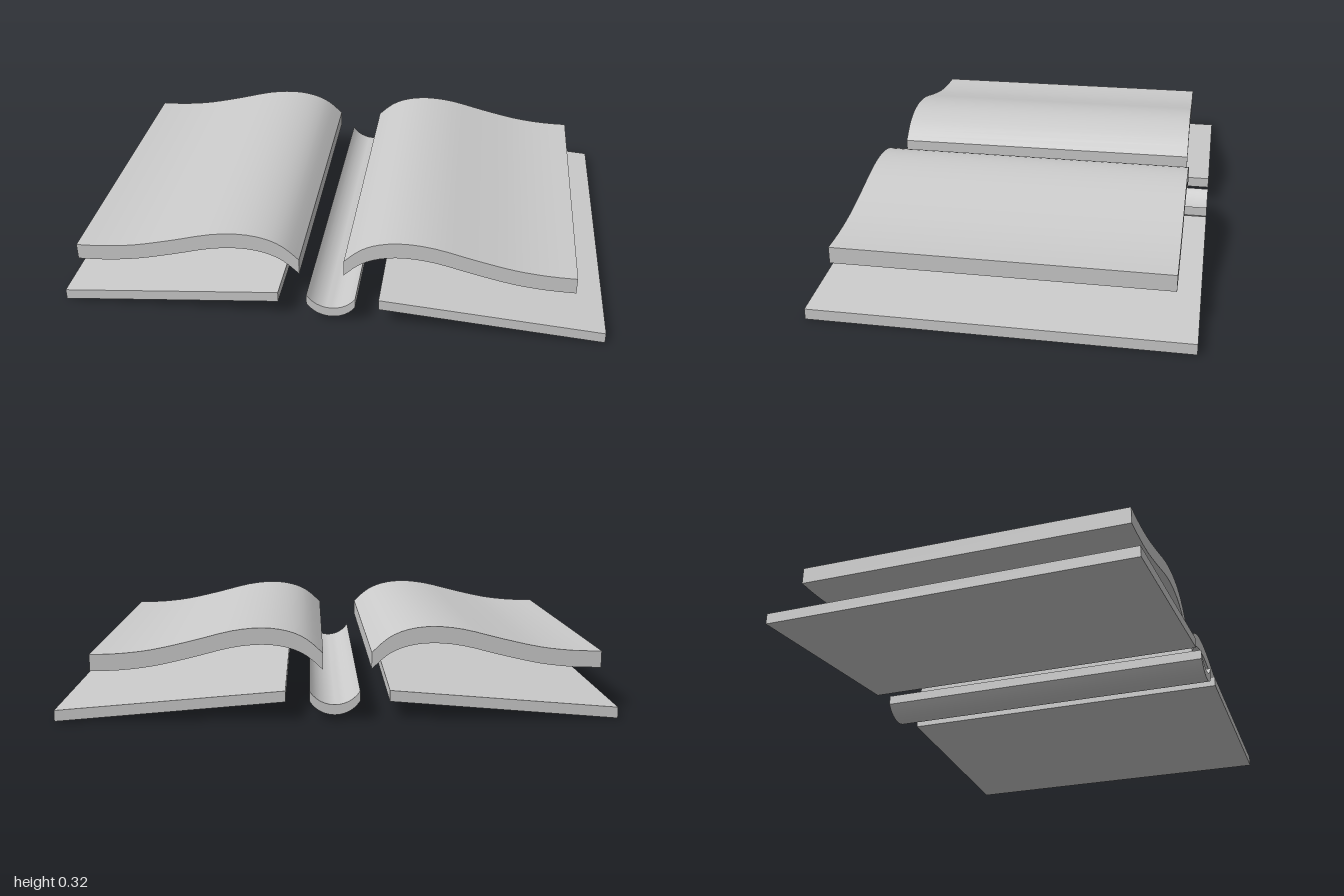
import * as THREE from 'three';
import { toCreasedNormals } from 'three/addons/utils/BufferGeometryUtils.js';

const material = new THREE.MeshStandardMaterial({ color: 0xcccccc });

// Slab whose upper outline is a list of [x, y] points, with vertical thickness t, running from z0 to z1
function slab(name, top, t, z0, z1) {
  const points = [
    ...top.map(([x, y]) => new THREE.Vector2(x, y)),
    ...[...top].reverse().map(([x, y]) => new THREE.Vector2(x, y - t)),
  ];
  const extruded = new THREE.ExtrudeGeometry(new THREE.Shape(points), { depth: z1 - z0, bevelEnabled: false });
  extruded.translate(0, 0, z0);
  const mesh = new THREE.Mesh(toCreasedNormals(extruded, Math.PI / 6), material);
  mesh.name = name;
  return mesh;
}

// Smooth outline through a few points
function smooth(points, n) {
  const curve = new THREE.SplineCurve(points.map(([x, y]) => new THREE.Vector2(x, y)));
  return curve.getPoints(n).map((p) => [p.x, p.y]);
}

export function createModel() {
  const book = new THREE.Group();
  book.name = 'openBook';

  // Sloping cover boards, higher beside the spine
  for (const [name, s] of [['leftCover', 1], ['rightCover', -1]]) {
    book.add(slab(name, [[0.185 * s, 0.108], [s, 0.042]], 0.04, -0.67, 0.67));
  }

  // Rounded trough-shaped spine
  const radius = 0.106, halfAngle = Math.asin(0.09 / radius);
  const arc = [];
  for (let i = 0; i <= 12; i++) {
    const a = halfAngle * (i / 6 - 1);
    arc.push([0.01 + radius * Math.sin(a), 0.057 + radius * (1 - Math.cos(a))]);
  }
  book.add(slab('spine', arc, 0.037, -0.67, 0.67));

  // Curved page blocks, outlined about their own centre
  const middle = 0.4675;
  const wave = smooth([
    [0.05, 0.226], [0.11, 0.279], [0.18, 0.309], [0.27, 0.32], [0.38, 0.309],
    [0.52, 0.274], [0.66, 0.243], [0.78, 0.229], [0.885, 0.226],
  ], 24).map(([x, y]) => [x - middle, y]);

  const leftPages = slab('leftPages', wave, 0.061, -0.6, 0.6);
  leftPages.position.set(middle, 0, 0.01);
  book.add(leftPages);

  // The other block is mirrored, shifted and slightly turned
  const rightPages = slab('rightPages', wave.map(([x, y]) => [-x, y]), 0.061, -0.6, 0.6);
  rightPages.position.set(-0.536, 0, 0.027);
  rightPages.rotation.y = 0.011;
  book.add(rightPages);

  return book;
}
